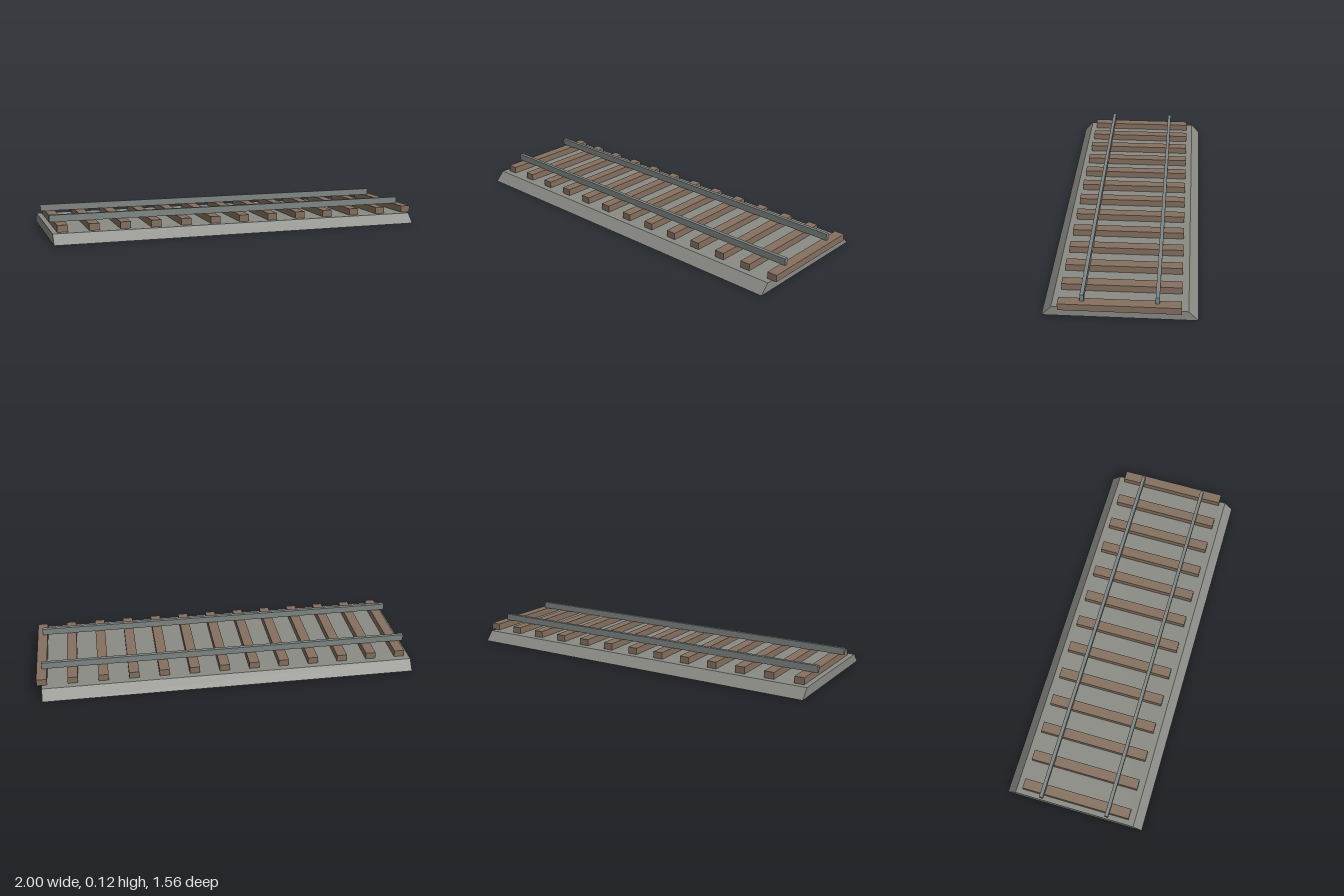
import * as THREE from 'three';

const ballastGrey = new THREE.MeshStandardMaterial({ name: 'ballast grey', color: 0x8a8b85 });
const sleeperBrown = new THREE.MeshStandardMaterial({ name: 'sleeper brown', color: 0x84705f });
const railSteel = new THREE.MeshStandardMaterial({ name: 'rail steel', color: 0x7e8683 });

const LENGTH = 1.898;
const BED_H = 0.048, SLEEPER_H = 0.034, RAIL_H = 0.034;

export function createModel() {
  const track = new THREE.Group();
  track.name = 'railwayTrack';

  function add(name, geometry, material, x, y, z) {
    const mesh = new THREE.Mesh(geometry, material);
    mesh.name = name;
    mesh.position.set(x, y, z);
    track.add(mesh);
  }

  // Ballast bed: sloped long sides, upright ends
  const profile = new THREE.Shape([
    new THREE.Vector2(-0.355, 0),
    new THREE.Vector2(0.355, 0),
    new THREE.Vector2(0.31, BED_H),
    new THREE.Vector2(-0.31, BED_H),
  ]);
  const bed = new THREE.ExtrudeGeometry(profile, { depth: LENGTH, bevelEnabled: false });
  bed.translate(0, 0, -LENGTH / 2).rotateY(Math.PI / 2);
  add('ballastBed', bed, ballastGrey, 0, 0, 0);

  // Sleepers: the last one overhangs the end of the bed
  const sleeper = new THREE.BoxGeometry(0.051, SLEEPER_H, 0.557);
  for (let i = 0; i < 13; i++) {
    add(`sleeper${i + 1}`, sleeper, sleeperBrown, -0.897 + i * 0.1537, BED_H + SLEEPER_H / 2, 0);
  }

  // Pair of rails
  const rail = new THREE.BoxGeometry(1.892, RAIL_H, 0.018);
  for (const side of [-1, 1]) {
    add(side < 0 ? 'backRail' : 'frontRail', rail, railSteel,
      0, BED_H + SLEEPER_H + RAIL_H / 2, side * 0.17);
  }

  // The track lies at an angle
  track.rotation.y = -Math.PI / 6;
  const model = new THREE.Group();
  model.name = 'trackSection';
  model.add(track);
  return model;
}
